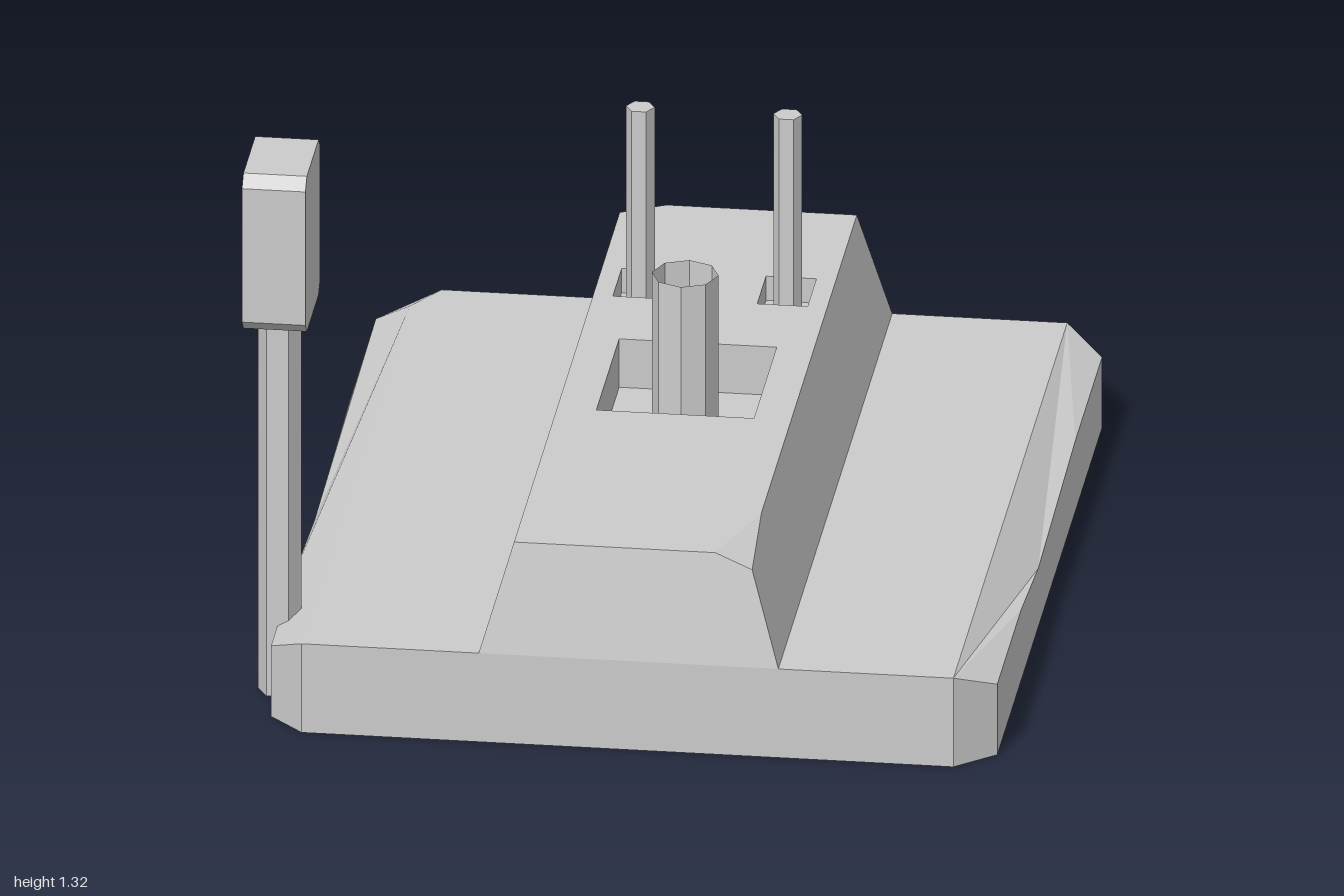
import * as THREE from 'three';

const concrete = new THREE.MeshStandardMaterial({ color: 0xcccccc, flatShading: true, side: THREE.DoubleSide });
concrete.name = 'light grey';

function add(group, name, geometry, x = 0, y = 0, z = 0) {
  const mesh = new THREE.Mesh(geometry, concrete);
  mesh.name = name;
  mesh.position.set(x, y, z);
  group.add(mesh);
  return mesh;
}

// Flat-shaded solid from polygons, each cut into a fan from its first corner
function faces(polygons) {
  const pos = [];
  for (const p of polygons)
    for (let i = 1; i < p.length - 1; i++) pos.push(...p[0], ...p[i], ...p[i + 1]);
  const g = new THREE.BufferGeometry();
  g.setAttribute('position', new THREE.Float32BufferAttribute(pos, 3));
  g.computeVertexNormals();
  return g;
}

// Upright prism standing on y, with a corner pointing along x
function prism(r, h, sides, open = false) {
  const g = new THREE.CylinderGeometry(r, r, h, sides, 1, open);
  g.rotateY(Math.PI / 2);
  g.translate(0, h / 2, 0);
  return g;
}

// Slab with cut corners and worn, bevelled long edges
function baseGeometry() {
  const polys = [];
  function side(xTop, xOut, zBack, dentY, dentZ, flip) {
    const A = [xTop, 0.22, 1], A2 = [xTop, 0.22, zBack];
    const B = [xOut, 0.175, 0.92], C = [xOut, 0.175, 0.5], D = [xOut, dentY, dentZ];
    const E = [xOut, 0.175, -0.45], F = [xOut, 0.175, -0.92];
    const b = [xOut, 0, 0.92], f = [xOut, 0, -0.92];
    const list = [
      [A, B, C, D, A2], [A2, D, E, F],
      [f, F, E, D, b], [b, D, C, B],
      [[xTop, 0, 1], b, B, A],
    ];
    list.forEach((p) => polys.push(flip ? p.slice().reverse() : p));
  }
  side(0.78, 0.87, -1, 0.145, 0.2, false);
  side(-0.71, -0.79, -0.9, 0.15, 0.15, true);
  const chip = [[-0.79, 0.175, -0.92], [-0.71, 0.22, -0.9], [-0.65, 0.22, -1], [-0.71, 0.175, -1]];
  polys.push(
    chip,
    [[-0.71, 0, -1], [-0.79, 0, -0.92], chip[0], chip[3]],
    [[0.87, 0, -0.92], [0.78, 0, -1], [0.78, 0.22, -1], [0.87, 0.175, -0.92]],
    [[-0.71, 0.22, 1], [0.78, 0.22, 1], [0.78, 0.22, -1], chip[2], chip[1]],
    [[-0.71, 0, 1], [0.78, 0, 1], [0.78, 0.22, 1], [-0.71, 0.22, 1]],
    [[0.78, 0, -1], [-0.71, 0, -1], chip[3], chip[2], [0.78, 0.22, -1]],
    [[-0.71, 0, -1], [0.78, 0, -1], [0.87, 0, -0.92], [0.87, 0, 0.92],
      [0.78, 0, 1], [-0.71, 0, 1], [-0.79, 0, 0.92], [-0.79, 0, -0.92]],
  );
  return faces(polys);
}

// Sockets in the top of the ridge: x0, x1, z0, z1, depth
const TOP = 0.48;
const SOCKETS = [
  [-0.14, 0.22, -0.2, 0.2, 0.12],
  [-0.185, -0.075, -0.59, -0.435, 0.06],
  [0.145, 0.26, -0.59, -0.435, 0.06],
];

function addRidge(group) {
  // Bottom corners, then the two chipped top corners
  const fl = [-0.305, 0.22, 1], fr = [0.38, 0.22, 1], br = [0.38, 0.22, -1], bl = [-0.305, 0.22, -1];
  const tfl = [-0.23, TOP, 0.955], tbr = [0.305, TOP, -0.955];
  const c1 = [0.23, TOP, 0.955], c2 = [0.305, TOP, 0.72], c3 = [0.315, 0.445, 0.961];
  const d1 = [-0.13, TOP, -0.955], d2 = [-0.23, TOP, -0.9], d3 = [-0.24, 0.445, -0.961];
  add(group, 'ridge sides', faces([
    [fl, fr, c3, c1, tfl],
    [fr, br, tbr, c2, c3],
    [br, bl, d3, d1, tbr],
    [bl, fl, tfl, d2, d3],
    [c1, c3, c2], [d1, d3, d2],
  ]));

  // Top face with square openings
  const flat = ([x, , z]) => new THREE.Vector2(x, -z);
  const shape = new THREE.Shape([tfl, c1, c2, tbr, d1, d2].map(flat));
  const walls = [];
  for (const [x0, x1, z0, z1, depth] of SOCKETS) {
    const ring = [[x0, z0], [x0, z1], [x1, z1], [x1, z0]];
    shape.holes.push(new THREE.Path(ring.map(([x, z]) => new THREE.Vector2(x, -z))));
    const low = ring.map(([x, z]) => [x, TOP - depth, z]);
    const high = ring.map(([x, z]) => [x, TOP, z]);
    walls.push(low);
    for (let i = 0; i < 4; i++) {
      const j = (i + 1) % 4;
      walls.push([low[j], low[i], high[i], high[j]]);
    }
  }
  const top = new THREE.ShapeGeometry(shape);
  top.rotateX(-Math.PI / 2);
  add(group, 'ridge top', top, 0, TOP, 0);
  add(group, 'sockets', faces(walls));
}

// Outline with cut corners
function cutRect(Type, w, h, c) {
  const a = w / 2, b = h / 2;
  return new Type([[-a + c, -b], [a - c, -b], [a, -b + c], [a, b - c],
    [a - c, b], [-a + c, b], [-a, b - c], [-a, -b + c]].map(([x, y]) => new THREE.Vector2(x, y)));
}

function addTerminal(group) {
  const terminal = new THREE.Group();
  terminal.name = 'control terminal';
  add(terminal, 'post', prism(0.05, 0.94, 6), -0.79, 0, 0.765);

  // Housing: solid body with a raised rim on its -x side
  const w = 0.26, h = 0.385, y = 1.1275, z = 0.763;
  const extrude = (shape, depth) => {
    const g = new THREE.ExtrudeGeometry(shape, { depth, bevelEnabled: false });
    g.rotateY(-Math.PI / 2);
    return g;
  };
  add(terminal, 'housing', extrude(cutRect(THREE.Shape, w, h, 0.027), 0.12), -0.715, y, z);
  const rim = cutRect(THREE.Shape, w, h, 0.027);
  rim.holes.push(cutRect(THREE.Path, w - 0.036, h - 0.036, 0.02));
  add(terminal, 'housing rim', extrude(rim, 0.025), -0.835, y, z);

  // Control panel with screen, buttons and knob
  add(terminal, 'control panel', new THREE.BoxGeometry(0.012, 0.17, 0.11), -0.841, 1.17, z);
  add(terminal, 'screen', new THREE.BoxGeometry(0.008, 0.045, 0.08), -0.85, 1.22, z);
  for (const dz of [-0.025, 0.025])
    add(terminal, 'button', new THREE.BoxGeometry(0.008, 0.025, 0.025), -0.85, 1.17, z + dz);
  add(terminal, 'knob', new THREE.BoxGeometry(0.03, 0.022, 0.028), -0.855, 1.127, z);
  group.add(terminal);
}

export function createModel() {
  const model = new THREE.Group();
  model.name = 'platform with terminal';
  add(model, 'base', baseGeometry());
  addRidge(model);

  // Open pipe and two rods standing in the sockets
  add(model, 'pipe', prism(0.076, 0.38, 8, true), 0.037, 0.36, 0);
  for (const x of [-0.132, 0.205]) add(model, 'rod', prism(0.033, 0.5, 6), x, 0.42, -0.51);

  addTerminal(model);
  return model;
}
